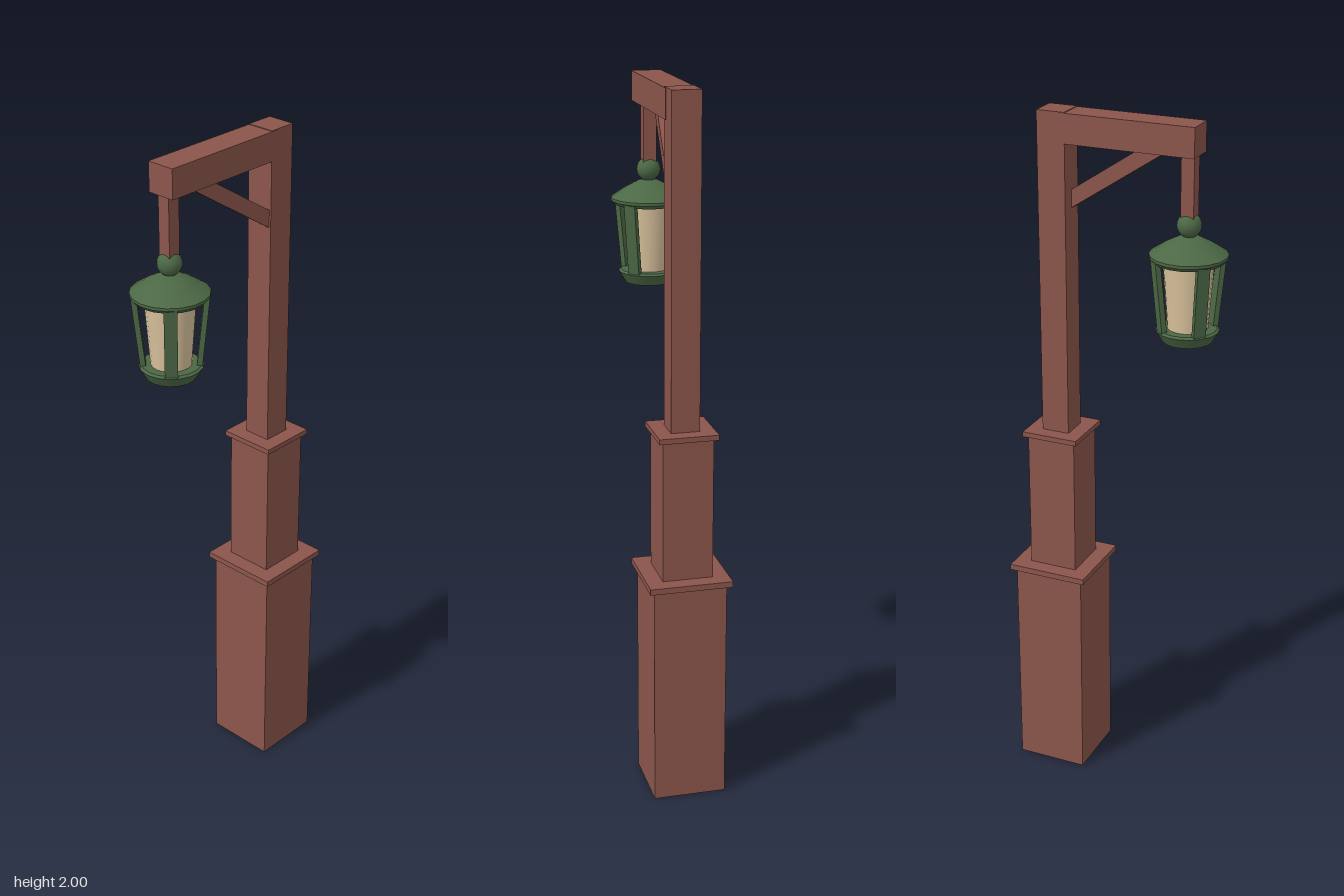
import * as THREE from 'three';
import { toCreasedNormals } from 'three/addons/utils/BufferGeometryUtils.js';

export function createModel() {
  const model = new THREE.Group();
  model.name = 'lampPost';

  const mat = (name, color) => {
    const m = new THREE.MeshStandardMaterial({ color });
    m.name = name;
    return m;
  };
  const wood = mat('reddish wood', 0x8b554b);
  const metal = mat('green metal', 0x4c6845);
  const glass = mat('warm glass', 0xd9c29c);

  const add = (name, geometry, material, parent, x = 0, y = 0, z = 0) => {
    const mesh = new THREE.Mesh(geometry, material);
    mesh.name = name;
    mesh.position.set(x, y, z);
    parent.add(mesh);
    return mesh;
  };

  // Stepped square post: name, width, bottom, top
  const postZ = -0.187;
  for (const [name, w, y0, y1] of [
    ['base', 0.207, 0, 0.645],
    ['baseCollar', 0.235, 0.643, 0.66],
    ['middlePost', 0.143, 0.66, 1.067],
    ['middleCollar', 0.167, 1.065, 1.08],
    ['upperPost', 0.081, 1.08, 2],
  ]) {
    add(name, new THREE.BoxGeometry(w, y1 - y0, w), wood, model, 0, (y0 + y1) / 2, postZ);
  }

  // Overhanging arm, starting inside the post
  add('arm', new THREE.BoxGeometry(0.083, 0.082, 0.393), wood, model, 0, 1.957, 0.0265);

  // Diagonal brace, slightly skewed sideways
  const low = new THREE.Vector3(0.02, 1.739, -0.172);
  const high = new THREE.Vector3(-0.017, 1.935, 0.123);
  const brace = add('brace', new THREE.BoxGeometry(0.036, 0.042, low.distanceTo(high)), wood, model);
  brace.position.copy(low).lerp(high, 0.5);
  brace.lookAt(high);

  // Lantern hanging from the arm
  const lantern = new THREE.Group();
  lantern.name = 'lantern';
  lantern.position.z = 0.196;
  model.add(lantern);

  const lathe = (points) => toCreasedNormals(
    new THREE.LatheGeometry(points.map(([r, y]) => new THREE.Vector2(r, y)), 18), 0.6);

  add('hanger', new THREE.BoxGeometry(0.037, 0.18, 0.037), wood, lantern, 0, 1.83, 0);
  add('finial', new THREE.SphereGeometry(0.034, 18, 12), metal, lantern, 0, 1.727, 0);
  add('roof', lathe([
    [0, 1.63], [0.098, 1.63], [0.107, 1.64], [0.107, 1.648],
    [0.065, 1.676], [0.03, 1.694], [0, 1.699],
  ]), metal, lantern);
  add('glass', new THREE.CylinderGeometry(0.07, 0.055, 0.2, 18), glass, lantern, 0, 1.535, 0);
  add('tray', lathe([
    [0, 1.405], [0.069, 1.405], [0.087, 1.436], [0.08, 1.441], [0, 1.441],
  ]), metal, lantern);

  // Four leaning corner bars
  for (let i = 0; i < 4; i++) {
    const a = Math.PI / 4 + i * Math.PI / 2;
    const corner = new THREE.Group();
    corner.name = 'cornerBar';
    corner.rotation.y = a;
    lantern.add(corner);
    const bar = add('bar', new THREE.BoxGeometry(0.035, 0.21, 0.015), metal, corner, 0, 1.535, 0.085);
    bar.rotation.x = 0.105;
  }

  return model;
}
